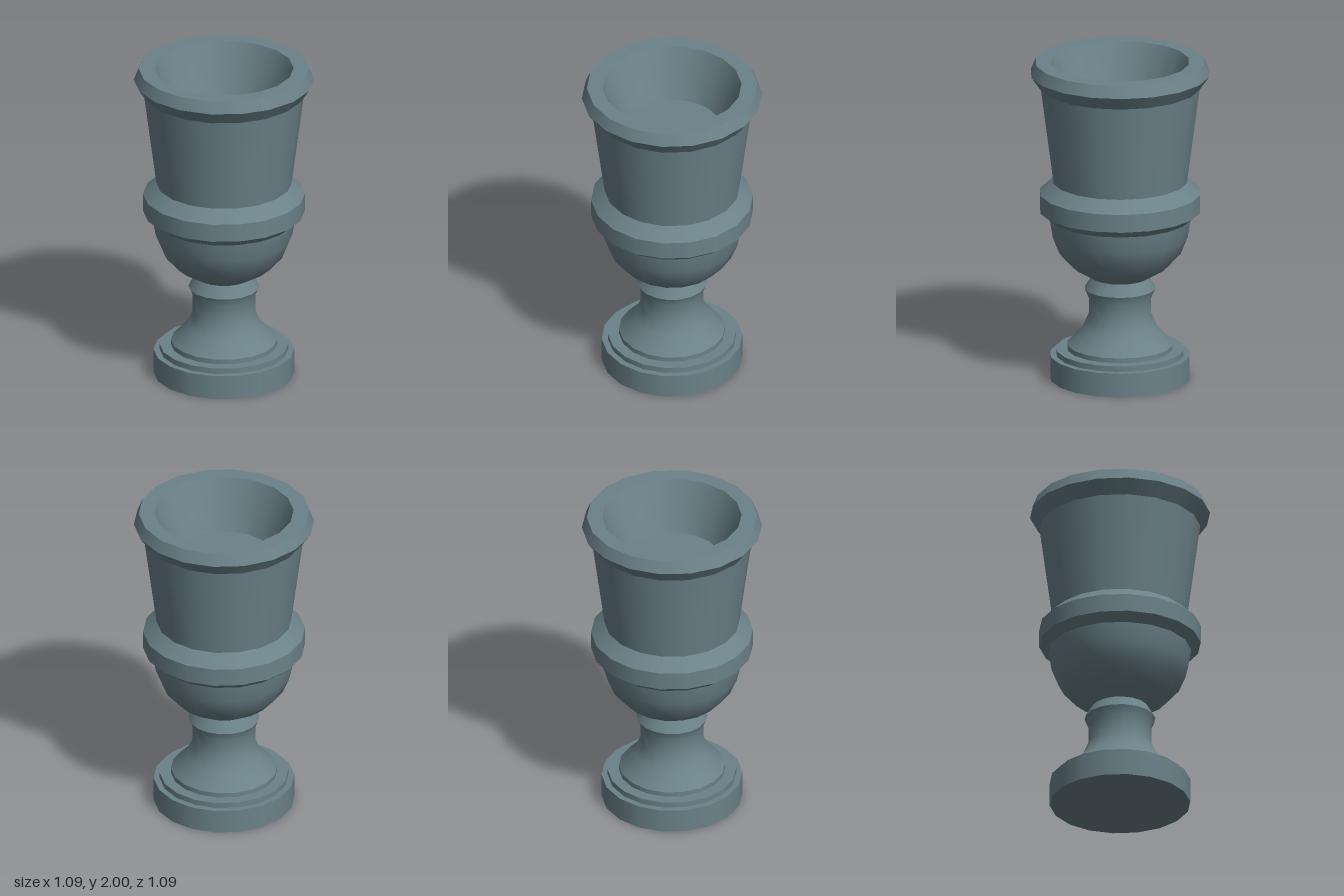
import * as THREE from 'three';

const SIDES = 18;
const TURN = THREE.MathUtils.degToRad(-5);

export function createModel() {
  const urn = new THREE.Group();
  urn.name = 'urn';
  const stone = new THREE.MeshStandardMaterial({ color: 0x6b8289 });
  stone.name = 'blue grey stone';

  // One turned surface, smooth along its profile
  const turn = (parent, name, profile) => {
    const points = profile.map(([r, y]) => new THREE.Vector2(r, y));
    const mesh = new THREE.Mesh(new THREE.LatheGeometry(points, SIDES, TURN), stone);
    mesh.name = name;
    parent.add(mesh);
  };

  // A part whose profile has a sharp edge at every point
  const turnSharp = (name, profile) => {
    const part = new THREE.Group();
    part.name = name;
    for (let i = 1; i < profile.length; i++) {
      turn(part, `${name}Face${i}`, [profile[i - 1], profile[i]]);
    }
    urn.add(part);
  };

  // Stepped foot, closed underneath
  turnSharp('base', [
    [0, 0], [0.427, 0], [0.427, 0.15], [0.39, 0.15],
    [0.39, 0.185], [0.322, 0.185], [0.322, 0.215],
  ]);

  // Flared stem and its collar
  turn(urn, 'stem', [[0.322, 0.215], [0.23, 0.312], [0.19, 0.402], [0.19, 0.508], [0.215, 0.566]]);
  turn(urn, 'collar', [[0.215, 0.566], [0.172, 0.637]]);

  // Rounded bowl
  turn(urn, 'bowl', [[0.172, 0.637], [0.292, 0.71], [0.372, 0.8], [0.415, 0.905], [0.433, 1.015]]);

  // Projecting band around the waist
  turnSharp('band', [[0.433, 1.015], [0.491, 1.063], [0.491, 1.175], [0.41, 1.247]]);

  // Tapered wall of the cup
  turn(urn, 'cupWall', [[0.41, 1.247], [0.488, 1.843]]);

  // Lip, then the hollow with its flat floor
  turnSharp('rim', [[0.488, 1.843], [0.547, 1.927], [0.517, 2], [0.422, 2]]);
  turnSharp('hollow', [[0.422, 2], [0.3, 1.69], [0, 1.69]]);

  return urn;
}
